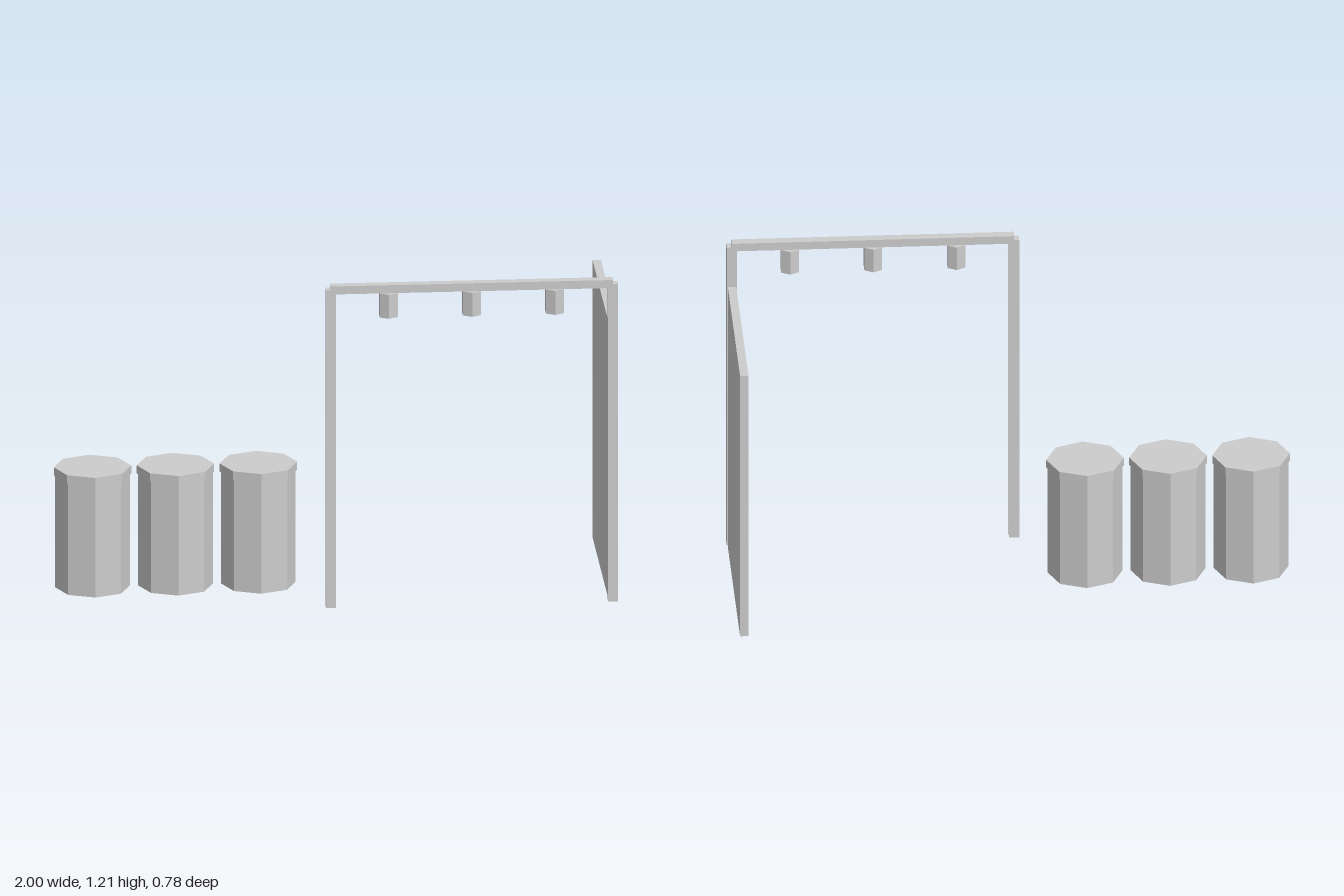
import * as THREE from 'three';

export function createModel() {
  const model = new THREE.Group();
  model.name = 'gateWithBinsAndPanel';
  const grey = new THREE.MeshStandardMaterial({ color: 0xcccccc, flatShading: true });
  grey.name = 'plain grey';

  function add(parent, name, geometry, x, y, z) {
    const mesh = new THREE.Mesh(geometry, grey);
    mesh.name = name;
    mesh.position.set(x, y, z);
    parent.add(mesh);
  }

  // Three octagonal bins, each with an overhanging lid
  for (let i = 0; i < 3; i++) {
    const bin = new THREE.Group();
    bin.name = 'bin' + (i + 1);
    bin.position.set(-0.861 + i * 0.2975, 0, 0.051);
    add(bin, 'binBody', new THREE.CylinderGeometry(0.134, 0.134, 0.42, 8), 0, 0.21, 0);
    add(bin, 'binLid', new THREE.CylinderGeometry(0.139, 0.139, 0.03, 8), 0, 0.435, 0);
    model.add(bin);
  }

  // Gate frame: two square posts and a crossbeam
  const gate = new THREE.Group();
  gate.name = 'gate';
  gate.position.z = 0.355;
  for (const [name, x] of [['rightPost', -0.03], ['leftPost', 0.982]]) {
    add(gate, name, new THREE.BoxGeometry(0.036, 1.19, 0.036), x, 0.595, 0);
  }
  add(gate, 'crossbeam', new THREE.BoxGeometry(1.012, 0.03, 0.036), 0.476, 1.19, 0);

  // Hexagonal lamps hanging under the beam
  for (let i = 0; i < 3; i++) {
    add(gate, 'lamp' + (i + 1), new THREE.CylinderGeometry(0.037, 0.037, 0.09, 6), 0.177 + i * 0.298, 1.13, 0);
  }
  model.add(gate);

  // Upright side panel behind the left post
  add(model, 'sidePanel', new THREE.BoxGeometry(0.03, 1.04, 0.715), 0.982, 0.52, -0.034);

  return model;
}
